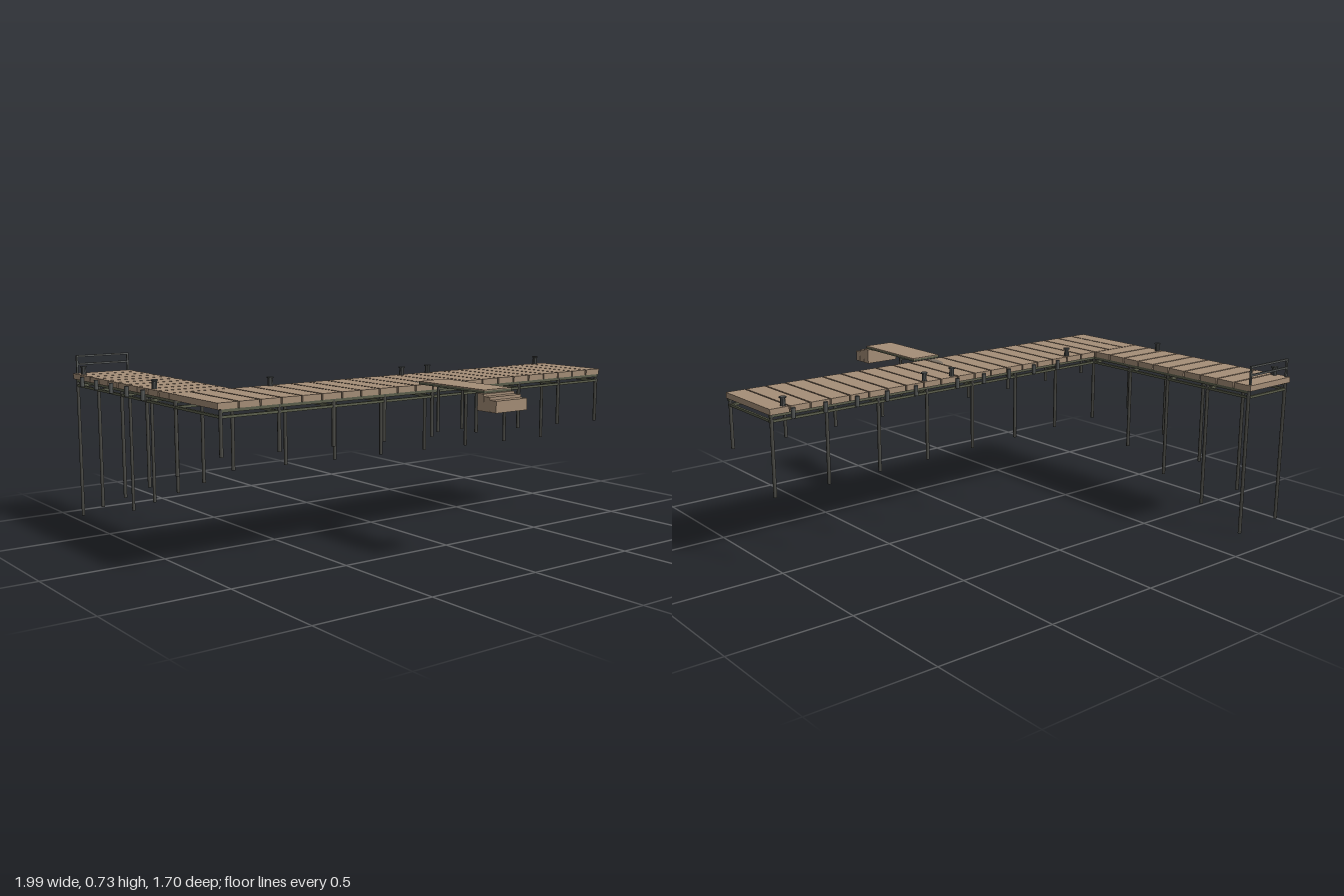
import * as THREE from 'three';

export function createModel() {
  const root = new THREE.Group();
  const mat = (name, color) => {
    const m = new THREE.MeshStandardMaterial({ color });
    m.name = name;
    return m;
  };
  const wood = mat('weathered wood', 0xa68f78);
  const frame = mat('olive framing', 0x5c5f4c);
  const pile = mat('dark pile', 0x4c4c47);
  const iron = mat('iron', 0x555857);
  const stain = mat('worn wood', 0x7c7266);

  const add = (name, geo, m, x, y, z, parent = root) => {
    const mesh = new THREE.Mesh(geo, m);
    mesh.name = name;
    mesh.position.set(x, y, z);
    parent.add(mesh);
    return mesh;
  };
  // Box given by its limits
  const block = (name, m, x0, x1, y0, y1, z0, z1, parent) =>
    add(name, new THREE.BoxGeometry(x1 - x0, y1 - y0, z1 - z0), m,
      (x0 + x1) / 2, (y0 + y1) / 2, (z0 + z1) / 2, parent);
  // Straight horizontal beam between two points in plan
  const beam = (name, x0, z0, x1, z1, w = 0.01, h = 0.01, y = 0.594) => {
    const b = add(name, new THREE.BoxGeometry(Math.hypot(x1 - x0, z1 - z0), h, w), frame,
      (x0 + x1) / 2, y, (z0 + z1) / 2);
    b.rotation.y = -Math.atan2(z1 - z0, x1 - x0);
  };
  const post = (x, z, bottom, top = 0.62, r = 0.0075) =>
    add('pile', new THREE.CylinderGeometry(r, r, top - bottom, 8), pile, x, (top + bottom) / 2, z);

  // Deck planks
  const gap = 0.0035, yB = 0.622, yT = 0.646;
  const mainPlanks = 22, x0 = -0.987, pitchX = 1.985 / mainPlanks;
  for (let i = 0; i < mainPlanks; i++)
    block('mainPlank', wood, x0 + i * pitchX + gap, x0 + (i + 1) * pitchX - gap, yB, yT, 0.046, 0.403);
  const sidePlanks = 10, z0 = -0.856, pitchZ = 0.9 / sidePlanks;
  for (let i = 0; i < sidePlanks; i++)
    block('sidePlank', wood, -0.983, -0.718, yB, yT, z0 + i * pitchZ + gap, z0 + (i + 1) * pitchZ - gap);

  // Main deck piles and cross beams
  const front = 0.396, back = 0.062, left = -0.968, right = -0.725;
  const bay = 0.2437;
  for (let i = 0; i < 9; i++) {
    const x = left + i * bay, bottom = 0.33 - i * 0.005;
    post(x, back, bottom);
    post(x, front, bottom + 0.12);
    beam('crossBeam', x, back, x, front);
  }
  for (const z of [front, back]) {
    beam('mainStringer', left, z, 0.99, z);
    beam('mainJoist', left, z, 0.99, z, 0.012, 0.012, 0.616);
  }

  // Side deck piles and cross beams
  for (const [z, bottom] of [[-0.175, 0.237], [-0.4, 0.157], [-0.625, 0.077], [-0.84, 0]]) {
    post(left, z, bottom + 0.012);
    post(right, z, bottom);
    beam('crossBeam', left, z, right, z);
  }
  for (const x of [left, right]) {
    beam('sideStringer', x, back, x, -0.84);
    beam('sideJoist', x, back, x, -0.84, 0.012, 0.012, 0.616);
  }

  // Fenders along the mooring edges
  const fender = (x, z) =>
    add('fender', new THREE.CylinderGeometry(0.009, 0.009, 0.042, 10), iron, x, 0.619, z);
  for (const x of [-0.47, -0.325, -0.18, -0.037, 0.107, 0.323, 0.467, 0.611, 0.756, 0.9]) fender(x, 0.037);
  for (const z of [-0.74, -0.597, -0.452, -0.307, -0.163]) fender(-0.991, z);

  // Mooring bollards
  const profile = [[0, 0], [0.011, 0], [0.01, 0.03], [0.0145, 0.031], [0.0145, 0.036], [0, 0.036]]
    .map(([r, y]) => new THREE.Vector2(r, y));
  const bollardGeo = new THREE.LatheGeometry(profile, 10).toNonIndexed();
  bollardGeo.computeVertexNormals();
  for (const [x, z] of [[-0.552, 0.067], [0.115, 0.067], [0.259, 0.067], [0.926, 0.067], [-0.963, -0.785], [-0.963, -0.118]])
    add('bollard', bollardGeo, iron, x, yT, z);

  // End railing
  const railing = new THREE.Group();
  railing.name = 'endRailing';
  root.add(railing);
  for (const x of [left, -0.73])
    block('railPost', iron, x - 0.004, x + 0.004, 0.62, 0.725, -0.845, -0.837, railing);
  for (const y of [0.686, 0.721])
    block('rail', iron, left, -0.73, y - 0.004, y + 0.004, -0.845, -0.837, railing);

  // Gangway: framed board with a wooden walking surface and two supports
  block('gangwayFrame', frame, -0.065, 0.075, 0.648, 0.657, 0.4, 0.778);
  block('gangwayBoard', wood, -0.065, 0.075, 0.657, 0.661, 0.4, 0.778);
  for (const x of [-0.058, 0.068]) post(x, 0.51, 0.47, 0.648, 0.006);
  beam('gangwayBeam', -0.058, 0.51, 0.068, 0.51, 0.01, 0.01, 0.642);

  // Worn patch on the deck where the gangway lands
  const patch = new THREE.Shape();
  patch.moveTo(0, 0);
  patch.lineTo(0, 0.12);
  patch.quadraticCurveTo(-0.035, 0.1, -0.035, 0);
  add('wornPatch', new THREE.ShapeGeometry(patch), stain, 0.002, yT + 0.001, 0.4).rotation.x = -Math.PI / 2;

  // Steps at the shore end
  [[0.75, 0.784, 0.647], [0.785, 0.818, 0.638], [0.819, 0.852, 0.627]].forEach(([a, b, top]) =>
    block('step', wood, -0.073, 0.086, 0.582, top, a, b));

  return root;
}
